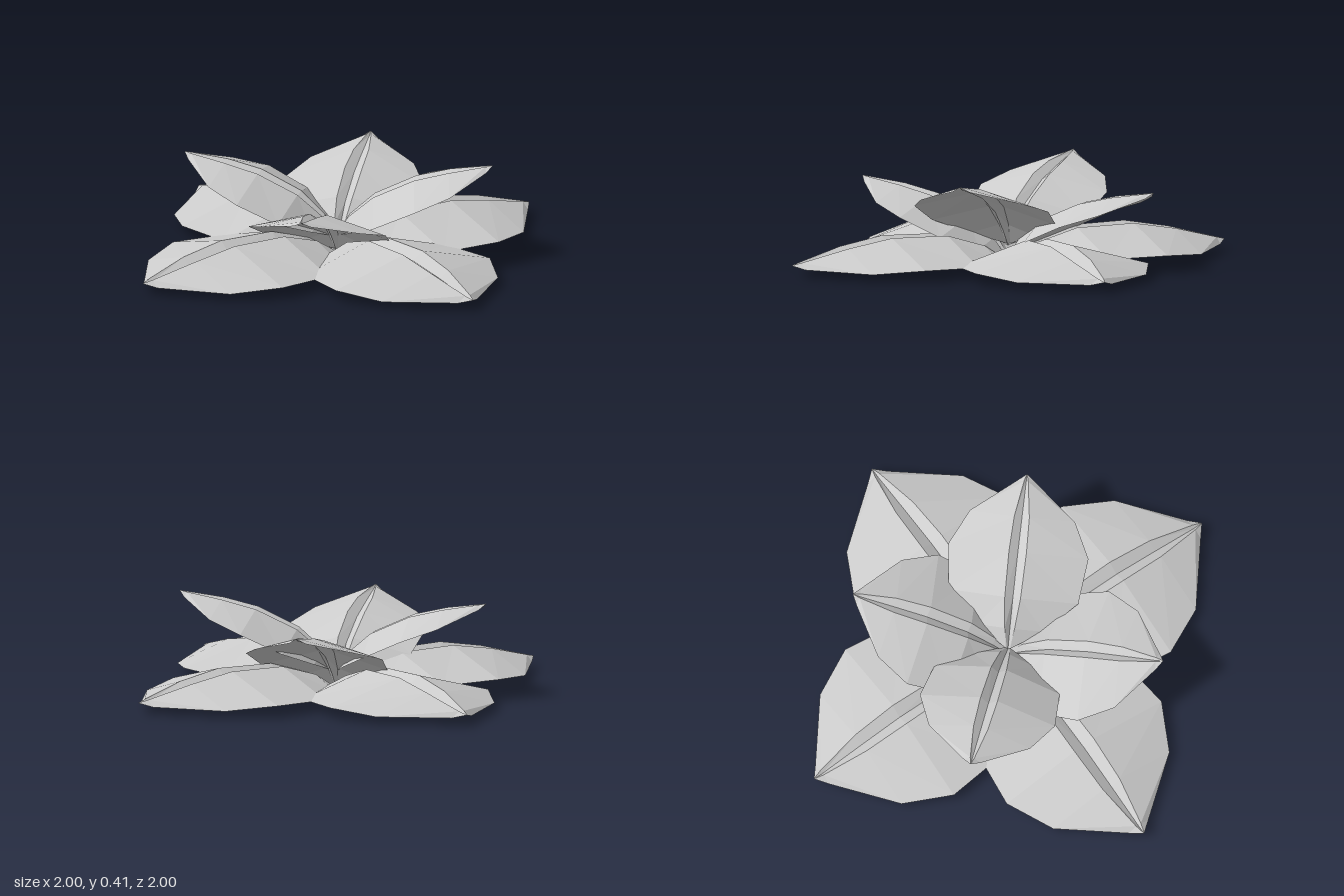
import * as THREE from 'three';

const material = new THREE.MeshStandardMaterial({ color: 0xcccccc, flatShading: true, side: THREE.DoubleSide });

// Leaf cross-sections from root to tip:
// [distance, edge half width, edge height, rib half width, rib height, groove height]
const SECTIONS = [
  [0, 0.012, 0.01, 0.006, 0.008, 0],
  [0.12, 0.19, 0.03, 0.028, 0.085, 0.05],
  [0.3, 0.37, 0.045, 0.045, 0.14, 0.105],
  [0.56, 0.4, 0.05, 0.05, 0.145, 0.11],
  [0.76, 0.3, 0.032, 0.043, 0.11, 0.08],
  [0.96, 0.05, 0.032, 0.012, 0.058, 0.045],
  [1, 0.002, 0.046, 0.001, 0.048, 0.046],
];

// Leaf along +x: two drooping blades either side of a V-shaped midrib groove
function leafGeometry() {
  const positions = [];
  const index = [];
  for (const [r, edge, edgeY, rib, ribY, grooveY] of SECTIONS) {
    positions.push(r, edgeY, -edge, r, ribY, -rib, r, grooveY, 0, r, ribY, rib, r, edgeY, edge);
  }
  for (let i = 0; i < SECTIONS.length - 1; i++) {
    for (let j = 0; j < 4; j++) {
      const a = i * 5 + j, b = a + 1, c = a + 5, d = a + 6;
      // mirrored diagonals keep both halves alike
      if (j < 2) index.push(a, b, d, a, d, c);
      else index.push(a, b, c, b, d, c);
    }
  }
  const geometry = new THREE.BufferGeometry();
  geometry.setAttribute('position', new THREE.Float32BufferAttribute(positions, 3));
  geometry.setIndex(index);
  geometry.computeVertexNormals();
  return geometry;
}

export function createModel() {
  const plant = new THREE.Group();
  plant.name = 'leafRosette';
  const geometry = leafGeometry();

  function addLeaf(name, turn, tilt = 0, scale = 1, height = 0) {
    const leaf = new THREE.Mesh(geometry, material);
    leaf.name = name;
    leaf.rotation.set(0, THREE.MathUtils.degToRad(turn), THREE.MathUtils.degToRad(tilt), 'YZX');
    leaf.scale.setScalar(scale);
    leaf.position.y = height;
    plant.add(leaf);
  }

  // Four large leaves lying flat
  ['Left', 'Back', 'Right', 'Front'].forEach((side, i) => addLeaf('lowerLeaf' + side, i * 90));

  // Four smaller raised leaves on the diagonals: turn, tilt, height
  addLeaf('upperLeafFrontLeft', -42, 24, 0.745, 0.077);
  addLeaf('upperLeafBackLeft', 42, 23, 0.745, 0.014);
  addLeaf('upperLeafBackRight', 131, 24, 0.735, 0.073);
  addLeaf('upperLeafFrontRight', 222, 23, 0.745, 0.014);
  return plant;
}
